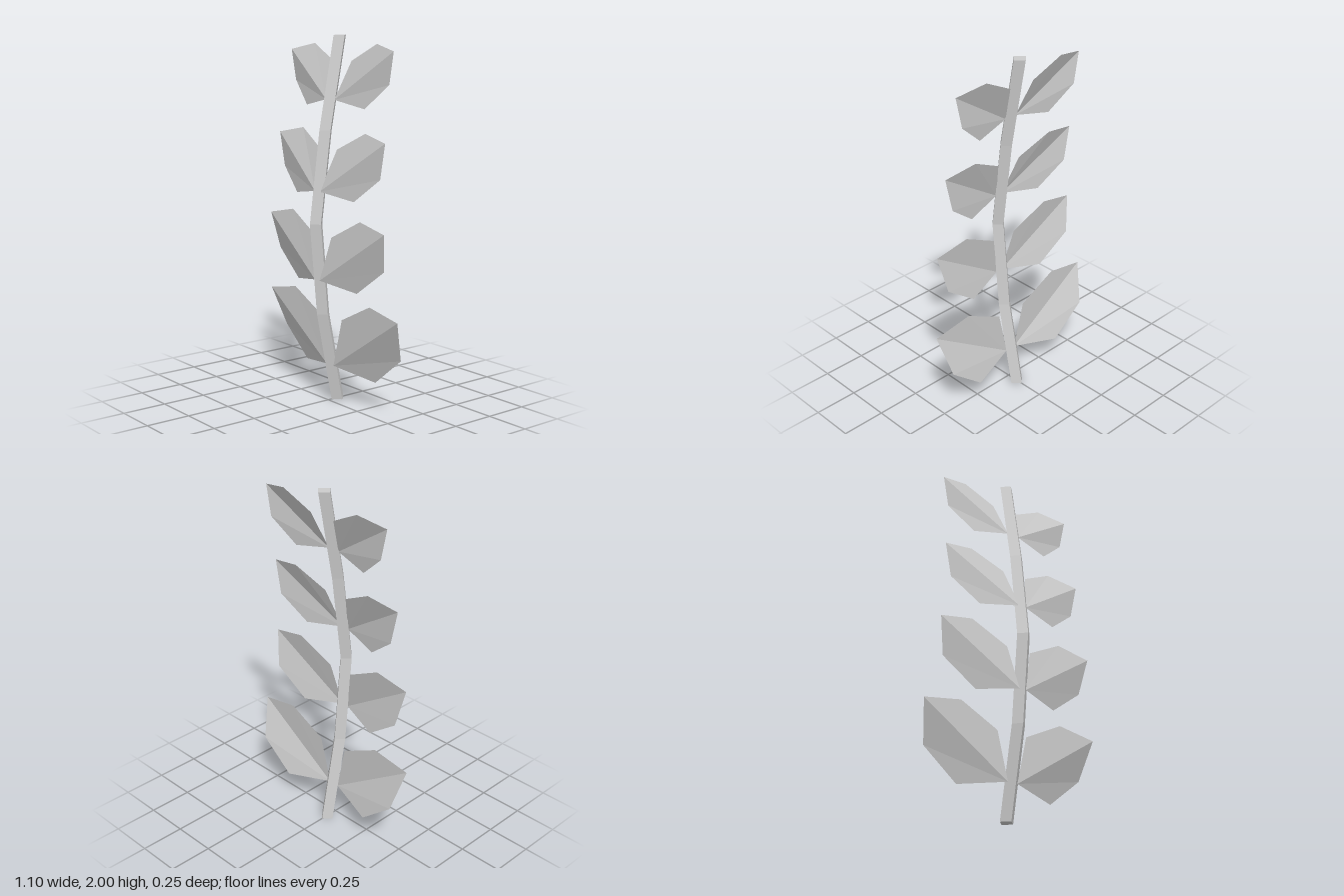
import * as THREE from 'three';

const material = new THREE.MeshStandardMaterial({
  color: 0xcccccc, flatShading: true, side: THREE.DoubleSide,
});

// Stem centre depth at five evenly spaced heights, bottom to top
const STEM_Z = [-0.066, 0.036, 0.083, 0.018, -0.078];

// Leaf outlines: base, lower inner, lower outer, tip, upper outer, upper inner
const LEAVES = [
  [[0.03, 0.2, -0.013], [0.3, 0.155, -0.085], [0.5, 0.32, -0.087], [0.55, 0.545, -0.015], [0.323, 0.585, -0.02], [0.093, 0.47, -0.02]],
  [[0.02, 0.69, 0.076], [0.255, 0.65, 0.01], [0.45, 0.795, -0.008], [0.49, 1.0, 0.028], [0.29, 1.04, 0.02], [0.075, 0.93, 0.038]],
  [[0.02, 1.175, 0.075], [0.245, 1.14, 0.025], [0.41, 1.27, -0.013], [0.45, 1.46, -0.01], [0.265, 1.495, -0.034], [0.075, 1.4, 0.0]],
  [[0.035, 1.66, -0.013], [0.245, 1.62, -0.045], [0.395, 1.75, -0.083], [0.43, 1.92, -0.08], [0.26, 1.955, -0.114], [0.08, 1.865, -0.094]],
];

// Square stem set on its corner, bowed forward in the middle
function makeStem() {
  const geometry = new THREE.CylinderGeometry(0.042, 0.042, 2, 4, 4).translate(0, 1, 0);
  const pos = geometry.attributes.position;
  for (let i = 0; i < pos.count; i++) {
    pos.setZ(i, pos.getZ(i) + STEM_Z[Math.round(pos.getY(i) * 2)]);
  }
  geometry.computeVertexNormals();
  const stem = new THREE.Mesh(geometry, material);
  stem.name = 'stem';
  return stem;
}

// Thin leaf of two facets creased along the base-to-tip line
function makeLeaf(outline, side) {
  const points = outline.map(([x, y, z]) => [x * side, y, z]);
  const vertices = [];
  for (let i = 1; i < points.length - 1; i++) {
    const [b, c] = side > 0 ? [i, i + 1] : [i + 1, i];
    vertices.push(...points[0], ...points[b], ...points[c]);
  }
  const geometry = new THREE.BufferGeometry();
  geometry.setAttribute('position', new THREE.Float32BufferAttribute(vertices, 3));
  geometry.computeVertexNormals();
  return new THREE.Mesh(geometry, material);
}

export function createModel() {
  const plant = new THREE.Group();
  plant.name = 'leafyStem';
  plant.add(makeStem());

  // Four mirrored pairs of leaves
  LEAVES.forEach((outline, i) => {
    for (const side of [1, -1]) {
      const leaf = makeLeaf(outline, side);
      leaf.name = `${side > 0 ? 'left' : 'right'}Leaf${i + 1}`;
      plant.add(leaf);
    }
  });
  return plant;
}
